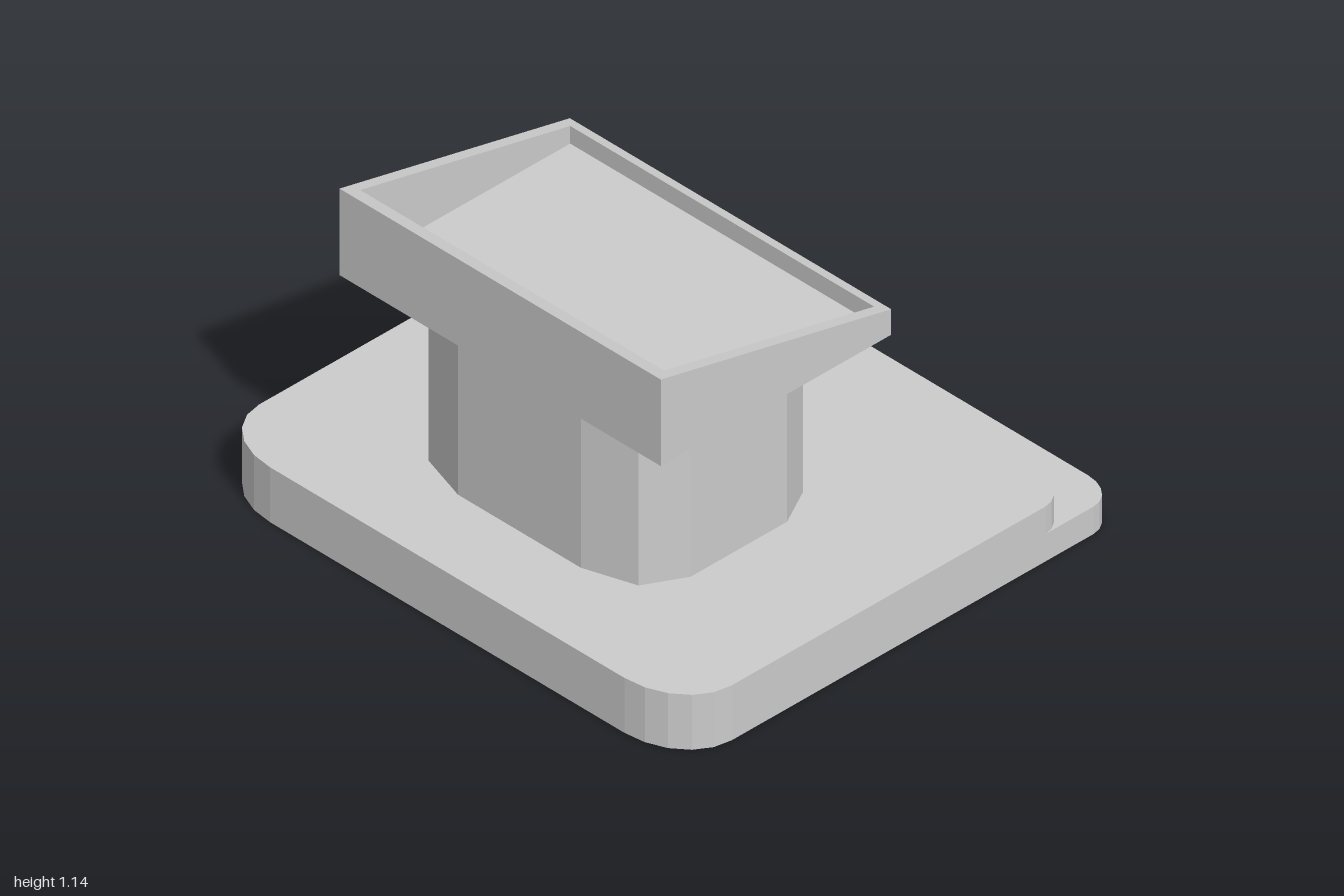
import * as THREE from 'three';

const material = new THREE.MeshStandardMaterial({ color: 0xcccccc, flatShading: true });

// Rectangle outline with elliptical corners: left pair and right pair are [rx, rz]
function roundedOutline(x0, x1, halfZ, left, right, steps) {
  const points = [];
  const corners = [
    [x1 - right[0], halfZ - right[1], right],
    [x0 + left[0], halfZ - left[1], left],
    [x0 + left[0], -halfZ + left[1], left],
    [x1 - right[0], -halfZ + right[1], right],
  ];
  corners.forEach(([cx, cz, [rx, rz]], quarter) => {
    for (let i = 0; i <= steps; i++) {
      const a = (quarter + i / steps) * Math.PI / 2;
      points.push(new THREE.Vector2(cx + rx * Math.cos(a), cz + rz * Math.sin(a)));
    }
  });
  return new THREE.Shape(points);
}

function rectangle(x0, x1, halfZ) {
  return [[x0, -halfZ], [x1, -halfZ], [x1, halfZ], [x0, halfZ]].map(([x, z]) => new THREE.Vector2(x, z));
}

// Extrude a ground outline upwards between two heights
function upright(shape, y0, y1) {
  const geometry = new THREE.ExtrudeGeometry(shape, { depth: y1 - y0, bevelEnabled: false });
  return geometry.rotateX(-Math.PI / 2).translate(0, y0, 0);
}

export function createModel() {
  const model = new THREE.Group();
  const add = (name, geometry) => {
    const mesh = new THREE.Mesh(geometry, material);
    mesh.name = name;
    model.add(mesh);
    return mesh;
  };

  // Stepped base, the lower slab sticking out on one side
  const leftCorner = [0.2, 0.25], rightCorner = [0.1, 0.125];
  add('baseStep', upright(roundedOutline(-0.9, 0.9, 1, leftCorner, rightCorner, 5), 0, 0.1));
  add('basePlatform', upright(roundedOutline(-0.9, 0.7, 1, leftCorner, rightCorner, 5), 0.1, 0.2));

  // Faceted column
  add('column', upright(roundedOutline(-0.6, 0.2, 0.52, [0.2, 0.26], [0.2, 0.26], 2), 0.2, 0.825));

  // Tray walls with a sloping rim
  const x0 = -0.68, x1 = 0.275, bottom = 0.825, high = 1.14, low = 0.918;
  const frame = new THREE.Shape(rectangle(x0, x1, 0.68));
  frame.holes.push(new THREE.Path(rectangle(-0.63, 0.24, 0.643)));
  const walls = upright(frame, bottom, high);
  const p = walls.attributes.position;
  for (let i = 0; i < p.count; i++) {
    if (p.getY(i) > 1) p.setY(i, THREE.MathUtils.mapLinear(p.getX(i), x0, x1, high, low));
  }
  walls.computeVertexNormals();
  add('trayWalls', walls);

  // Tray floor
  add('trayFloor', upright(new THREE.Shape(rectangle(-0.63, 0.24, 0.643)), bottom, 0.862));

  // Oval dish: flat top, shallow cone pointing down
  const dish = new THREE.ConeGeometry(1, 0.063, 48).rotateX(Math.PI);
  dish.scale(0.2, 1, 0.32).translate(-0.2, 0.964, 0);
  add('ovalDish', dish);

  return model;
}
